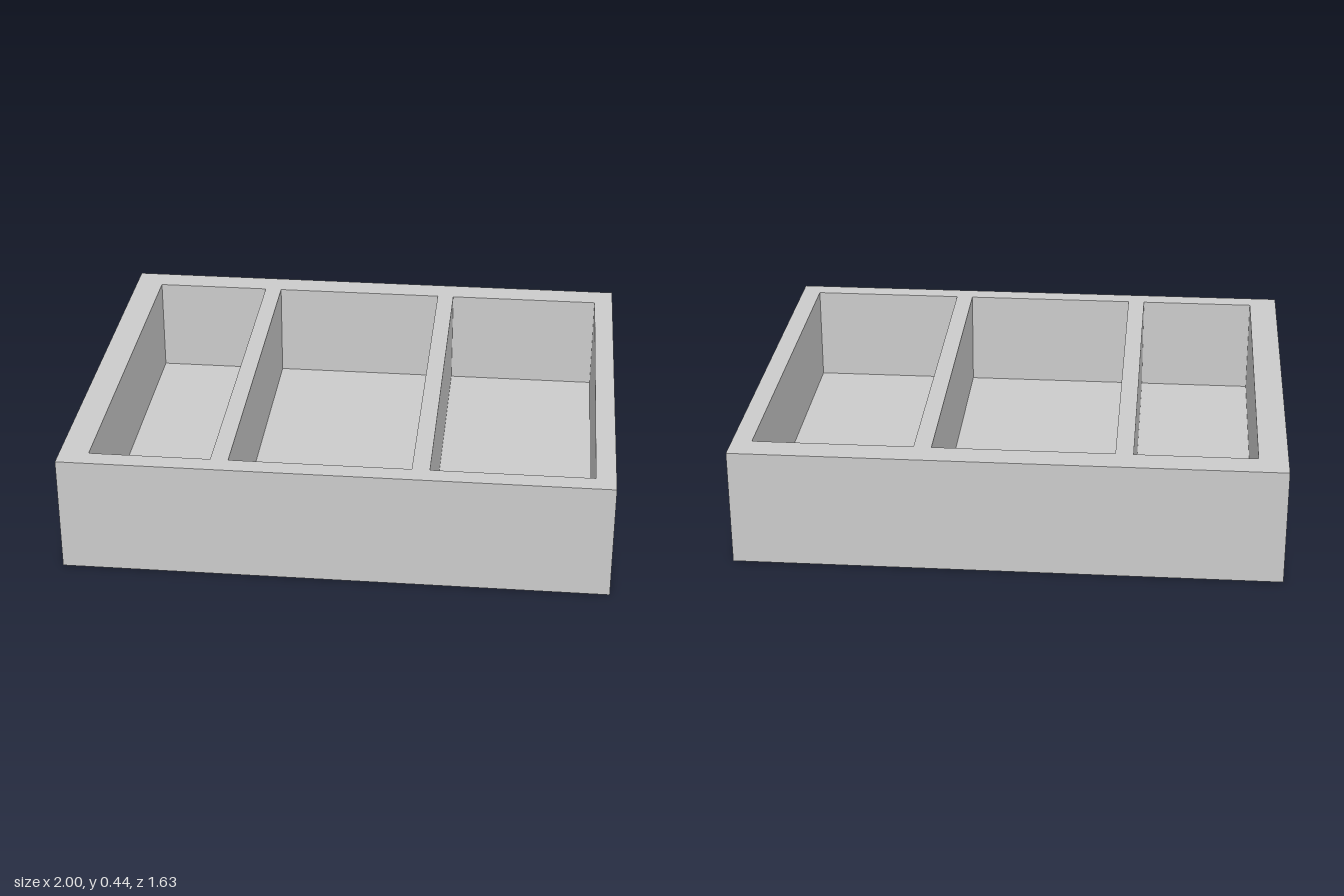
import * as THREE from 'three';

const HEIGHT = 0.438, FLOOR = 0.065;
const HALF_X = 1, HALF_Z = 0.816;
const POCKET_Z = [-0.71, 0.742];
const POCKETS_X = [[-0.893, -0.45], [-0.385, 0.275], [0.34, 0.927]];

// Box without its top face; inward = true turns the faces to the inside.
function openBox([x0, x1], [y0, y1], [z0, z1], inward) {
  const box = new THREE.BoxGeometry(x1 - x0, y1 - y0, z1 - z0);
  box.translate((x0 + x1) / 2, (y0 + y1) / 2, (z0 + z1) / 2);
  const index = Array.from(box.index.array);
  index.splice(12, 6);
  if (inward) index.reverse();
  box.setIndex(index);
  box.clearGroups();
  const geometry = box.toNonIndexed();
  geometry.computeVertexNormals();
  return geometry;
}

// Rectangle on the ground plan (shape y is -z).
function rectangle(PathType, [x0, x1], [z0, z1]) {
  return new PathType([[x0, -z1], [x1, -z1], [x1, -z0], [x0, -z0]]
    .map(([x, y]) => new THREE.Vector2(x, y)));
}

export function createModel() {
  const model = new THREE.Group();
  model.name = 'dividedTray';
  const material = new THREE.MeshStandardMaterial({ color: 0xcccccc });
  const add = (name, geometry) => {
    const mesh = new THREE.Mesh(geometry, material);
    mesh.name = name;
    model.add(mesh);
  };

  // Outer walls and underside
  const outerX = [-HALF_X, HALF_X], outerZ = [-HALF_Z, HALF_Z];
  add('outerShell', openBox(outerX, [0, HEIGHT], outerZ, false));

  // Flat top of the walls and dividers
  const rim = rectangle(THREE.Shape, outerX, outerZ);
  rim.holes = POCKETS_X.map((x) => rectangle(THREE.Path, x, POCKET_Z));
  add('rim', new THREE.ShapeGeometry(rim).rotateX(-Math.PI / 2).translate(0, HEIGHT, 0));

  // Three recessed compartments
  const names = ['rightCompartment', 'middleCompartment', 'leftCompartment'];
  POCKETS_X.forEach((x, i) => add(names[i], openBox(x, [FLOOR, HEIGHT], POCKET_Z, true)));

  return model;
}
